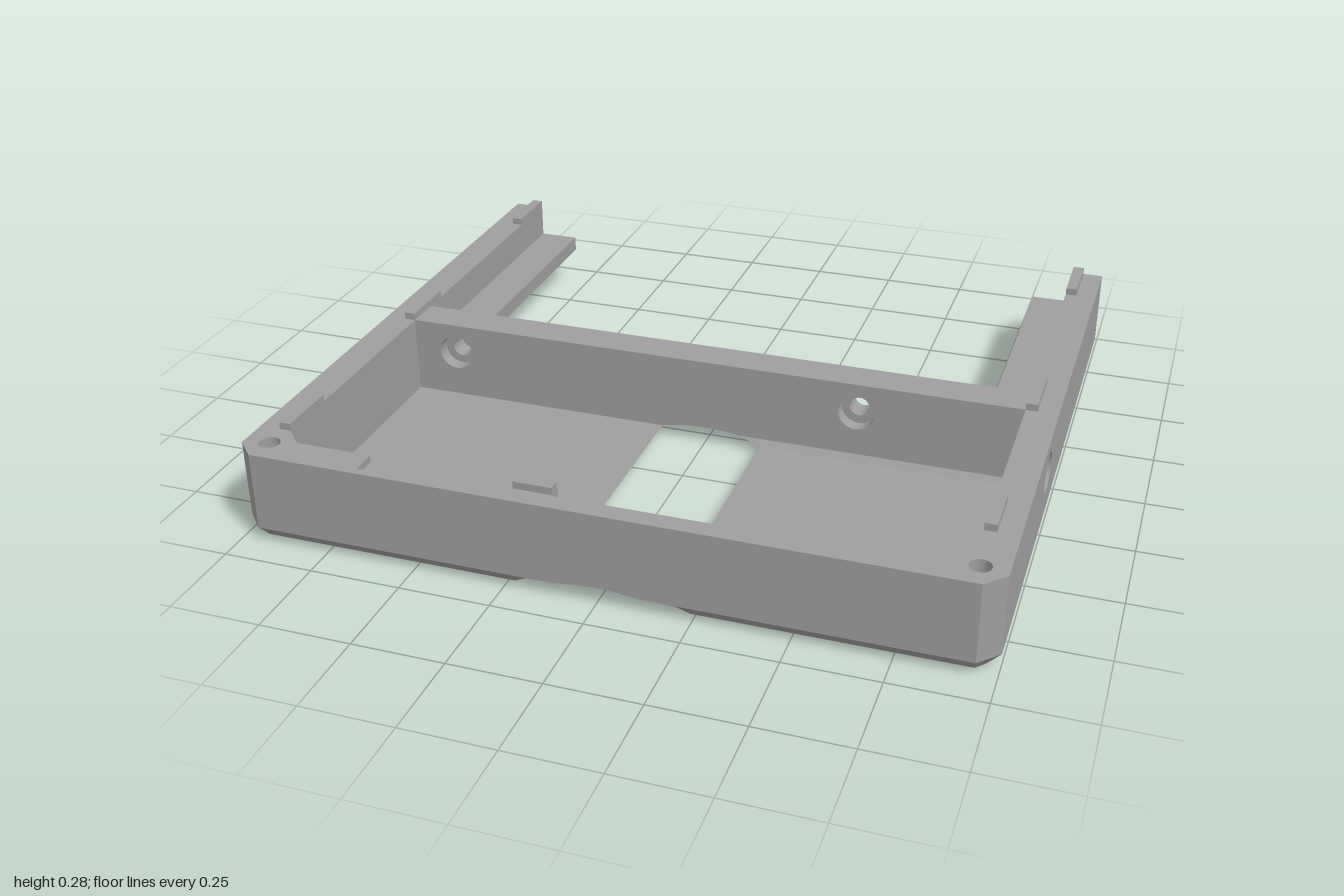
import * as THREE from 'three';

const material = new THREE.MeshStandardMaterial({ color: 0x9e9e9e });
const TOP = 0.26, CHAMFER = 0.04, ARCH = 0.235, END = 0.914, INSET = 0.878;

// Outline is kept counter-clockwise so that hole walls face into the hole
function shapeOf(points, holes = []) {
  const outline = points.map(([x, y]) => new THREE.Vector2(x, y));
  if (THREE.ShapeUtils.isClockWise(outline)) outline.reverse();
  const shape = new THREE.Shape(outline);
  for (const [x, y, rx, ry = rx] of holes) {
    shape.holes.push(new THREE.Path().absellipse(x, y, rx, ry, 0, Math.PI * 2, true));
  }
  return shape;
}

const extrude = (points, depth, holes) =>
  new THREE.ExtrudeGeometry(shapeOf(points, holes), { depth, bevelEnabled: false, curveSegments: 24 });

// x-y profile swept along z
const alongZ = (points, z0, z1, holes) => extrude(points, z1 - z0, holes).translate(0, 0, z0);

// z-y profile swept along x
const alongX = (points, x0, x1, holes = []) =>
  extrude(points.map(([z, y]) => [-z, y]), x1 - x0, holes.map(([z, ...rest]) => [-z, ...rest]))
    .rotateY(Math.PI / 2).translate(x0, 0, 0);

// x-z plan swept along y
const alongY = (points, y0, y1, holes = []) =>
  extrude(points.map(([x, z]) => [x, -z]), y1 - y0, holes.map(([x, z, r]) => [x, -z, r]))
    .rotateX(-Math.PI / 2).translate(0, y0, 0);

// Underside curve of the finger groove, from x0 to x1
function arch(x0, x1, n = 16) {
  const R = 0.577;
  return Array.from({ length: n + 1 }, (_, i) => {
    const x = x0 + (x1 - x0) * i / n;
    return [x, Math.max(0, 0.05 - R + Math.sqrt(R * R - x * x))];
  });
}

// Moves each vertex by a rule that returns its new position
function reshape(geometry, rule) {
  const p = geometry.attributes.position;
  for (let i = 0; i < p.count; i++) p.setXYZ(i, ...rule(p.getX(i), p.getY(i), p.getZ(i)));
  geometry.computeVertexNormals();
  return geometry;
}

// Slopes the outer bottom edge of a wall inwards
const chamferBottom = geometry => reshape(geometry, (x, y, z) => {
  if (y > 0.001) return [x, y, z];
  const s = Math.sign(x), ax = Math.abs(x);
  if (ax > 0.99) return [s * 0.965, y, z > 0.8 ? 0.852 : z];
  if (z > 0.91) return [ax > 0.9 ? s * 0.942 : x, y, INSET];
  return [x, y, z];
});

export function createModel() {
  const model = new THREE.Group();
  const add = (name, geometry) => {
    const mesh = new THREE.Mesh(geometry, material);
    mesh.name = name;
    model.add(mesh);
  };
  const box = (name, x0, x1, y0, y1, z0, z1) =>
    add(name, new THREE.BoxGeometry(x1 - x0, y1 - y0, z1 - z0)
      .translate((x0 + x1) / 2, (y0 + y1) / 2, (z0 + z1) / 2));

  // Plan of one side wall with its front corner and half of the front wall
  const wallPlan = (s, backZ, innerZ, corner, notch = []) => [
    [1, backZ], [1, 0.86], [0.948, END], [ARCH, END], [ARCH, innerZ], ...notch,
    [0.91 - corner, innerZ], [0.91, innerZ - corner], [0.91, backZ],
  ].map(([x, z]) => [s * x, z]);
  const screwHole = s => [[s * 0.93, 0.84, 0.028]];

  // Side at -x: thick front wall with a shallow slot in its rim
  const slot = [[0.24, 0.82], [0.24, 0.89], [0.65, 0.89], [0.65, 0.82]];
  add('rightWallBase', chamferBottom(alongY(wallPlan(-1, -0.05, 0.82, 0.05), 0, CHAMFER, screwHole(-1))));
  add('rightWall', alongY(wallPlan(-1, -0.05, 0.82, 0.05), CHAMFER, 0.24, screwHole(-1)));
  add('rightWallRim', alongY(wallPlan(-1, -0.05, 0.82, 0.05, slot), 0.24, TOP, screwHole(-1)));

  // Side at +x: thin front wall and a round opening in the side
  add('leftWallBase', chamferBottom(alongY(wallPlan(1, -0.05, 0.86, 0.07), 0, CHAMFER, screwHole(1))));
  add('leftWall', alongY(wallPlan(1, 0.4, 0.86, 0.07), CHAMFER, TOP, screwHole(1)));
  add('leftWallPanel', alongX([[-0.05, CHAMFER], [0.4, CHAMFER], [0.4, TOP], [-0.05, TOP]],
    0.91, 1, [[0.196, 0.162, 0.063, 0.055]]));

  // Middle of the front wall, above the groove
  const middle = [...arch(-ARCH, ARCH), [ARCH, TOP], [-ARCH, TOP]];
  add('frontWallMiddle', alongZ(middle, 0.86, INSET));
  add('frontWallFace', reshape(alongZ(middle, INSET, END),
    (x, y, z) => [x, z > 0.9 ? Math.max(y, CHAMFER) : y, z]));
  box('frontWallStep', -ARCH, -0.13, 0.03, TOP, 0.82, 0.86);

  // Floors either side of the window, thinned by the groove
  add('rightFloor', alongZ([[-0.91, 0], ...arch(-ARCH, -0.13), [-0.13, 0.035], [-0.91, 0.035]], 0.04, 0.83));
  add('leftFloor', alongZ([...arch(0.17, ARCH), [0.91, 0], [0.91, 0.024], [0.17, 0.024]], 0.04, 0.86));

  // Sloped edges around the left floor, tapering off at the window
  add('floorEdgeSide', alongZ([[0.893, 0.024], [0.911, 0.024], [0.911, 0.042]], 0.05, 0.8));
  for (const [name, foot, wall, x1] of [['Front', 0.84, 0.861, 0.85], ['Back', 0.065, 0.049, 0.91]]) {
    const wedge = [[foot, 0.024], [wall, 0.024], [wall, 0.042]];
    add('floorEdge' + name, alongX(wedge, 0.17, x1));
    add('floorEdge' + name + 'Tip', reshape(alongX(wedge, 0.1, 0.17),
      (x, y, z) => x < 0.11 ? [x, 0.042, wall] : [x, y, z]));
  }

  // Crossbar with two counterbored screw holes
  const bar = [[-0.91, 0], ...arch(-ARCH, ARCH), [0.91, 0], [0.91, TOP], [-0.91, TOP]];
  const barHoles = r => [-0.78, 0.445].map(x => [x, 0.172, r]);
  add('crossbarBack', alongZ(bar, -0.055, 0.01, barHoles(0.028)));
  add('crossbarFront', alongZ(bar, 0.01, 0.05, barHoles(0.052)));

  // Rear arms with an inner ledge, a screw hole in the end and a block at the root
  for (const s of [-1, 1]) {
    const side = s > 0 ? 'left' : 'right';
    const profile = [[1, TOP], [0.91, TOP], [0.91, 0.16], [0.79, 0.16], [0.79, 0.115],
      [0.9, 0], [0.965, 0], [1, CHAMFER]].map(([x, y]) => [s * x, y]);
    add(side + 'ArmEnd', alongZ(profile, -END, -0.71, [[s * 0.905, 0.127, 0.026]]));
    add(side + 'Arm', alongZ(profile, -0.71, -0.05));
    const [a, b] = s > 0 ? [0.79, 0.95] : [-0.95, -0.79];
    box(side + 'ArmBlock', a, b, 0, 0.16, -0.275, -0.05);

    // Locating tabs on the rim
    const [t0, t1] = s > 0 ? [0.91, 0.942] : [-0.942, -0.91];
    const frontTab = s > 0 ? [0.535, 0.685] : [0.593, 0.768];
    for (const [z0, z1] of [[-END, -0.74], [-0.125, 0.05], frontTab]) {
      box(side + 'RimTab', t0, t1, TOP - 0.01, 0.28, z0, z1);
    }
  }
  box('frontRimTab', -ARCH, -0.13, TOP - 0.01, 0.28, 0.825, 0.857);

  return model;
}
